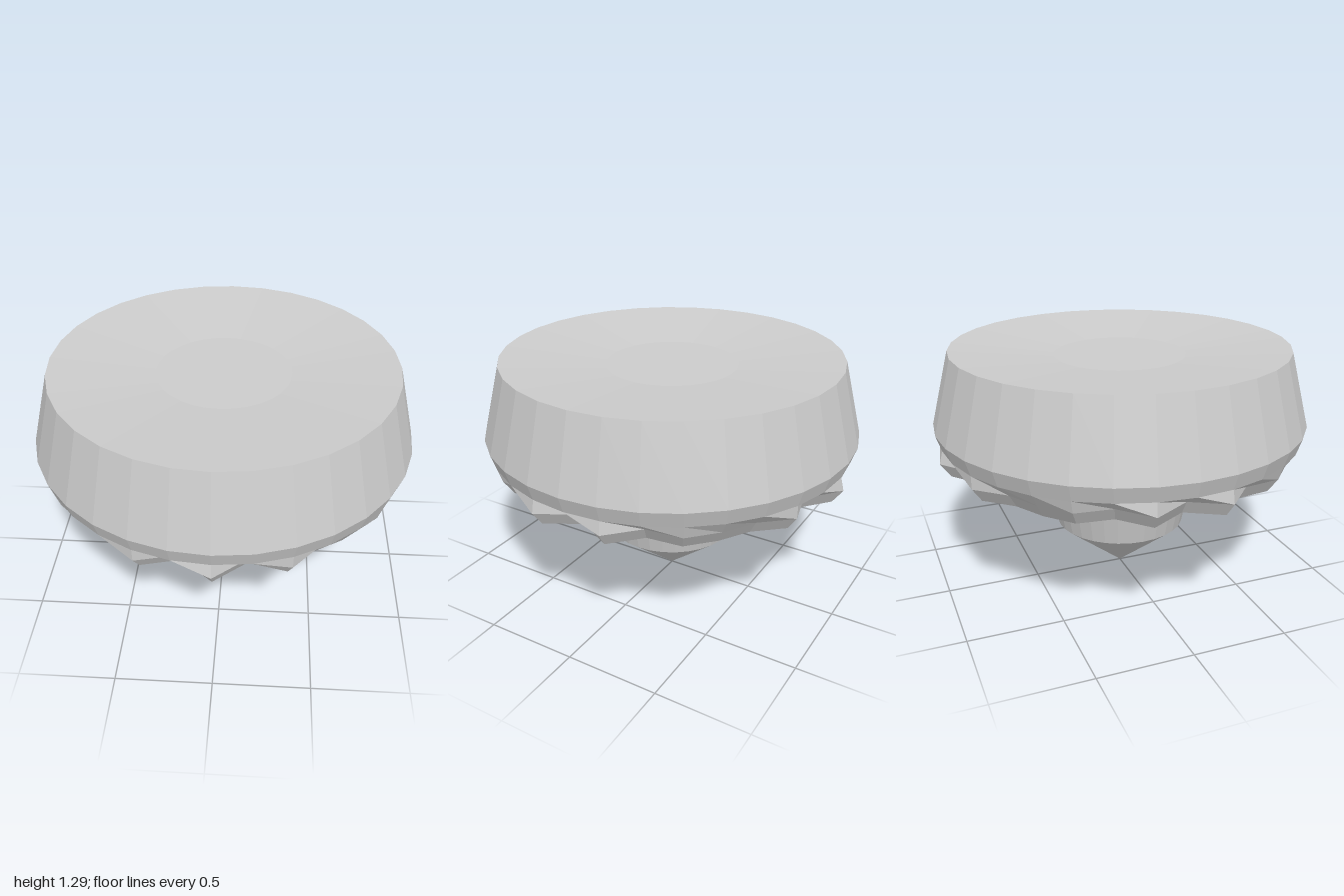
import * as THREE from 'three';

const SEGMENTS = 32;
const TEETH = 14;

export function createModel() {
  const group = new THREE.Group();
  const material = new THREE.MeshStandardMaterial({
    color: 0xcccccc, flatShading: true, side: THREE.DoubleSide,
  });

  // Turned part; the profile [radius, height] runs from bottom to top along the outside
  const turned = (name, profile) => {
    const points = profile.map(([r, y]) => new THREE.Vector2(r, y));
    const mesh = new THREE.Mesh(new THREE.LatheGeometry(points, SEGMENTS), material);
    mesh.name = name;
    group.add(mesh);
    return mesh;
  };

  // Pointed tip, its collar and the flaring underside
  turned('tip', [[0, 0], [0.355, 0.29]]);
  turned('collar', [[0.355, 0.29], [0.387, 0.45]]);
  turned('underside', [[0.387, 0.45], [0.62, 0.62], [0.76, 0.7]]);

  // Toothed ring: the outer lower edges swing in and out around the axis
  const ring = turned('toothedRing', [
    [0.76, 0.7], [0.76, 0.675], [0.875, 0.675], [0.925, 0.75], [0.972, 0.82],
  ]);
  const pos = ring.geometry.attributes.position;
  for (let i = 0; i < pos.count; i++) {
    const x = pos.getX(i), z = pos.getZ(i);
    const r = Math.hypot(x, z);
    if (r < 0.8 || pos.getY(i) > 0.8) continue;
    const scale = 1 + 0.07 * Math.cos(TEETH * Math.atan2(x, z));
    pos.setX(i, x * scale);
    pos.setZ(i, z * scale);
  }
  ring.geometry.computeVertexNormals();

  // Main body wall
  turned('body', [[0.972, 0.82], [1, 0.905], [0.9, 1.295]]);

  // Shallow dished top with a flat centre
  turned('dishedTop', [[0.9, 1.295], [0.35, 1.245], [0, 1.245]]);

  return group;
}
